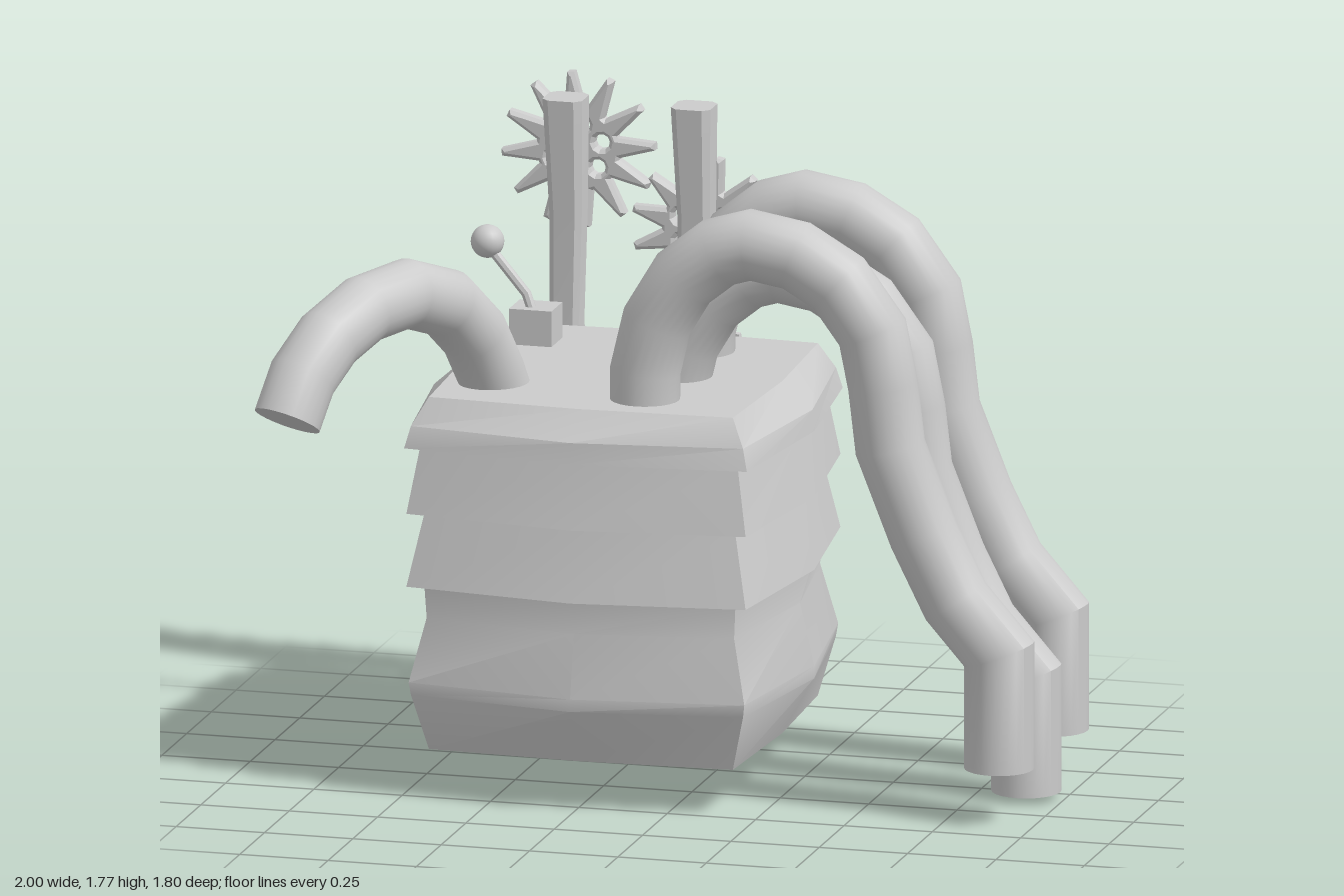
import * as THREE from 'three';
import { toCreasedNormals } from 'three/addons/utils/BufferGeometryUtils.js';

const V = (x, y, z) => new THREE.Vector3(x, y, z);
const material = new THREE.MeshStandardMaterial({ color: 0xcccccc });

function add(parent, name, geometry, x = 0, y = 0, z = 0) {
  const mesh = new THREE.Mesh(geometry, material);
  mesh.name = name;
  mesh.position.set(x, y, z);
  parent.add(mesh);
  return mesh;
}

// Closed skin through a stack of rings, with flat caps at both ends
function loft(rings, crease = 0.6) {
  const pos = [];
  const tri = (...pts) => pts.forEach((p) => pos.push(p.x, p.y, p.z));
  const n = rings[0].length;
  for (let i = 0; i < rings.length - 1; i++) {
    for (let j = 0; j < n; j++) {
      const k = (j + 1) % n;
      const [a, b, c, d] = [rings[i][j], rings[i][k], rings[i + 1][j], rings[i + 1][k]];
      tri(a, c, b);
      tri(b, c, d);
    }
  }
  const first = rings[0], last = rings[rings.length - 1];
  for (let j = 1; j < n - 1; j++) {
    tri(first[0], first[j], first[j + 1]);
    tri(last[0], last[j + 1], last[j]);
  }
  const g = new THREE.BufferGeometry();
  g.setAttribute('position', new THREE.Float32BufferAttribute(pos, 3));
  return toCreasedNormals(g, crease);
}

// Round pipe with mitred joints; path points are [distance along dir, height]
function pipe(path, radius, origin, dir, sides = 24) {
  const pts = path.map(([u, y]) => new THREE.Vector2(u, y));
  const rings = pts.map((p, i) => {
    const t0 = p.clone().sub(pts[Math.max(i - 1, 0)]).normalize();
    const t1 = pts[Math.min(i + 1, pts.length - 1)].clone().sub(p).normalize();
    const t = t0.clone().add(t1).normalize();
    const miter = i > 0 && i < pts.length - 1 ? 1 / t.dot(t1) : 1;
    const tangent = dir.clone().multiplyScalar(t.x).setY(t.y);
    const normal = dir.clone().multiplyScalar(-t.y).setY(t.x);
    const side = normal.clone().cross(tangent);
    const centre = dir.clone().multiplyScalar(p.x).add(origin);
    centre.y += p.y;
    return Array.from({ length: sides }, (_, j) => {
      const a = (j / sides) * Math.PI * 2;
      return centre.clone()
        .addScaledVector(normal, Math.cos(a) * radius * miter)
        .addScaledVector(side, Math.sin(a) * radius);
    });
  });
  return loft(rings);
}

// Toothed disc with a ring of holes
function toothedDisc(teeth, inner, outer, rootHalf, tipHalf, holes, holeRing, holeRadius, depth, bevel) {
  const shape = new THREE.Shape();
  const pts = [];
  for (let i = 0; i < teeth; i++) {
    const a = (i / teeth) * Math.PI * 2;
    for (const [r, w] of [[inner, -rootHalf], [outer, -tipHalf], [outer, tipHalf], [inner, rootHalf]]) {
      pts.push(new THREE.Vector2(r * Math.cos(a) - w * Math.sin(a), r * Math.sin(a) + w * Math.cos(a)));
    }
  }
  shape.setFromPoints(pts);
  for (let i = 0; i < holes; i++) {
    const a = ((i + 0.25) / holes) * Math.PI * 2;
    const hole = new THREE.Path();
    hole.absarc(holeRing * Math.cos(a), holeRing * Math.sin(a), holeRadius, 0, Math.PI * 2, true);
    shape.holes.push(hole);
  }
  const g = new THREE.ExtrudeGeometry(shape, {
    depth, curveSegments: 5, bevelEnabled: bevel > 0, bevelSize: bevel, bevelThickness: bevel,
    bevelOffset: -bevel, bevelSegments: 1,
  });
  return g.translate(0, 0, -depth / 2);
}

export function createModel() {
  const model = new THREE.Group();

  // Tiered body: [height, corner half width, mid-side half width]
  const tiers = [
    [0.13, 0.43, 0.45], [0.29, 0.47, 0.54], [0.325, 0.475, 0.54], [0.5, 0.435, 0.5], [0.59, 0.44, 0.5],
    [0.595, 0.48, 0.54], [0.795, 0.44, 0.495], [0.8, 0.48, 0.54], [0.98, 0.45, 0.5],
    [0.985, 0.485, 0.54], [1.045, 0.47, 0.535], [1.12, 0.43, 0.45],
  ];
  const body = tiers.map(([y, c, m]) =>
    [[m, 0], [c, c], [0, m], [-c, c], [-m, 0], [-c, -c], [0, -m], [c, -c]].map(([x, z]) => V(x, y, z)));
  add(model, 'tieredBody', loft(body, 0.4), -0.25, 0, -0.2);

  // Three arched pipes dropping down the left side
  const arch = [
    [-0.11, 1.06], [-0.108, 1.2], [-0.075, 1.34], [0, 1.465], [0.1, 1.545], [0.19, 1.572], [0.32, 1.55],
    [0.44, 1.48], [0.535, 1.35], [0.565, 1.2], [0.585, 1.03], [0.68, 0.79], [0.77, 0.61], [0.893, 0.47], [0.893, 0.15],
  ];
  for (const [z, drop] of [[0.085, 0], [-0.19, 0.13], [-0.47, 0.025]]) {
    add(model, 'archedPipe', pipe(arch, 0.096, V(0, -drop, z), V(1, 0, 0)));
  }

  // Curved spout reaching forward on the right side
  const spout = [
    [-0.01, 1.06], [0.03, 1.15], [0.1, 1.27], [0.22, 1.38], [0.39, 1.44],
    [0.57, 1.43], [0.72, 1.375], [0.83, 1.29], [0.895, 1.18],
  ];
  add(model, 'spout', pipe(spout, 0.094, V(-0.55, 0, 0), V(-0.41, 0, 0.912).normalize()));

  // Two rear posts with bevelled section: [height, half width, x shift, z shift]
  const postRings = [
    [0, 0.056, 0, 0], [0.3, 0.053, 0, 0], [0.58, 0.048, 0.004, 0], [0.8, 0.042, 0.006, -0.012],
    [1.1, 0.042, 0, -0.012], [1.4, 0.046, 0.006, -0.006], [1.72, 0.056, 0, 0],
  ];
  for (const x of [-0.58, -0.217]) {
    const rings = postRings.map(([y, h, dx, dz]) => {
      const b = h * 0.65;
      return [[h, -b], [h, b], [b, h], [-b, h], [-h, b], [-h, -b], [-b, -h], [b, -h]]
        .map(([px, pz]) => V(px + dx, y, pz + dz));
    });
    add(model, 'rearPost', loft(rings, 0.3), x, 0, -0.797);
  }

  // Bars holding the posts to the body
  for (const y of [0.315, 1.025]) {
    const bar = new THREE.Shape([[-0.68, 0.66], [-0.1, 0.66], [-0.11, 0.745], [-0.17, 0.77], [-0.62, 0.77], [-0.685, 0.755]]
      .map(([x, d]) => new THREE.Vector2(x, d)));
    const g = new THREE.ExtrudeGeometry(bar, { depth: 0.065, bevelEnabled: false });
    add(model, 'postBar', g.rotateX(-Math.PI / 2), 0, y - 0.032, 0);
  }

  // Spiked wheels at the top of the posts
  for (const [x, y, r, turn] of [[-0.565, 1.555, 0.218, 0.1], [-0.21, 1.355, 0.205, 0.3]]) {
    const g = toothedDisc(12, 0.115, r, 0.028, 0.01, 6, 0.072, 0.022, 0.025, 0.01);
    add(model, 'spikedWheel', g, x, y, -0.882).rotation.z = turn;
  }

  // Small cogs below, on the left post
  for (const [x, y, turn] of [[-0.21, 1.035, 0.2], [-0.225, 0.825, 0.55]]) {
    const g = toothedDisc(8, 0.078, 0.11, 0.026, 0.014, 4, 0.038, 0.013, 0.022, 0);
    add(model, 'cog', g, x, y, -0.86).rotation.z = turn;
  }

  // Lever on the roof: block, bent rod and ball
  const lever = new THREE.Group();
  lever.name = 'lever';
  model.add(lever);
  add(lever, 'leverBlock', new THREE.BoxGeometry(0.12, 0.12, 0.11), -0.567, 1.16, -0.445);
  add(lever, 'leverRod', pipe([[0, 1.2], [0.02, 1.255], [0.135, 1.38]], 0.014, V(-0.57, 0, -0.43), V(-1, 0, -0.15).normalize(), 8));
  add(lever, 'leverBall', new THREE.SphereGeometry(0.046, 20, 14), -0.705, 1.39, -0.452);

  return model;
}
